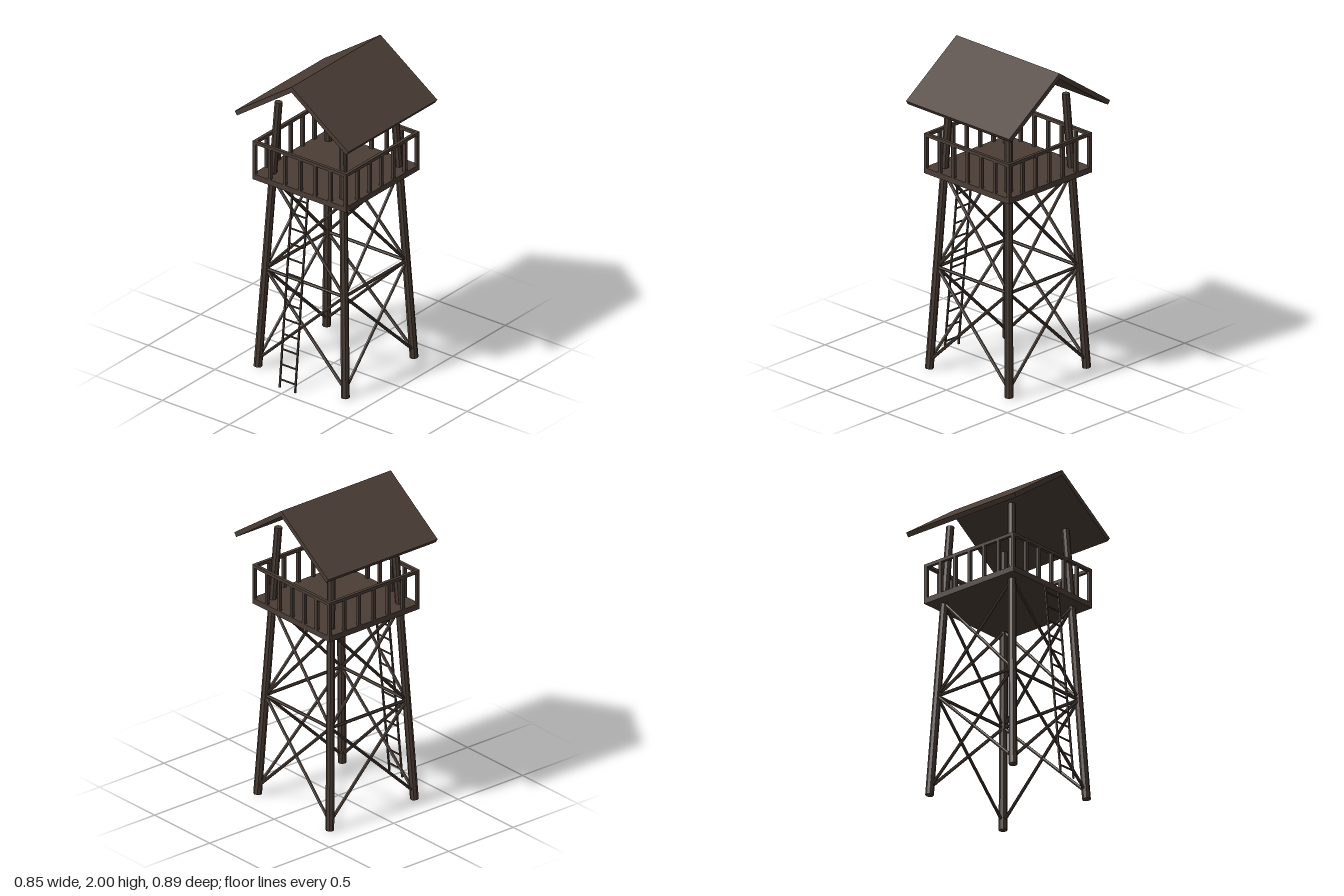
import * as THREE from 'three';

export function createModel() {
  const model = new THREE.Group();
  const tower = new THREE.Group();
  tower.name = 'tower';
  tower.position.z = -0.02;
  model.add(tower);

  const wood = new THREE.MeshStandardMaterial({ color: 0x4a3d35, flatShading: true });
  wood.name = 'dark weathered wood';

  const add = (parent, name, geometry, x = 0, y = 0, z = 0) => {
    const mesh = new THREE.Mesh(geometry, wood);
    mesh.name = name;
    mesh.position.set(x, y, z);
    parent.add(mesh);
    return mesh;
  };

  // Round pole between two points
  const UP = new THREE.Vector3(0, 1, 0);
  const pole = (parent, name, a, b, r0, r1 = r0, sides = 6) => {
    const dir = b.clone().sub(a);
    const mesh = add(parent, name, new THREE.CylinderGeometry(r1, r0, dir.length(), sides));
    mesh.position.copy(a).add(b).multiplyScalar(0.5);
    mesh.quaternion.setFromUnitVectors(UP, dir.normalize());
    return mesh;
  };

  // Legs lean inward as they rise
  const legAt = (sx, sz, y) => {
    const r = 0.328 - 0.0497 * y;
    return new THREE.Vector3(sx * r, y, sz * r);
  };
  for (const sx of [-1, 1]) {
    for (const sz of [-1, 1]) {
      pole(tower, 'leg', legAt(sx, sz, 0.001), legAt(sx, sz, 1.75), 0.026, 0.024, 8);
    }
  }

  // Bracing and railing, repeated on the four sides
  for (let i = 0; i < 4; i++) {
    const side = new THREE.Group();
    side.name = 'side';
    side.rotation.y = i * Math.PI / 2;
    tower.add(side);

    pole(side, 'crossBeam', legAt(-1, 1, 0.647), legAt(1, 1, 0.647), 0.01);
    for (const [low, high] of [[0.05, 0.647], [0.647, 1.25]]) {
      for (const s of [-1, 1]) {
        pole(side, 'diagonalBrace', legAt(-s, 1, low), legAt(s, 1, high), 0.01);
      }
    }

    add(side, 'handrail', new THREE.BoxGeometry(0.7, 0.02, 0.02), 0, 1.49, 0.34);
    for (let p = 0; p < 6; p++) {
      add(side, 'railPost', new THREE.BoxGeometry(0.02, 0.21, 0.02), -0.34 + p * 0.34 / 3, 1.38, 0.34);
    }
  }

  // Platform floor
  add(tower, 'platform', new THREE.BoxGeometry(0.7, 0.036, 0.7), 0, 1.263, 0);

  // Gabled roof: one chevron profile run front to back
  const profile = new THREE.Shape([
    [0, 2], [-0.426, 1.705], [-0.409, 1.68], [0, 1.964], [0.409, 1.68], [0.426, 1.705],
  ].map(([x, y]) => new THREE.Vector2(x, y)));
  add(tower, 'roof', new THREE.ExtrudeGeometry(profile, { depth: 0.85, bevelEnabled: false }), 0, 0, -0.425);

  // Ladder leaning on the front edge of the platform
  const ladder = new THREE.Group();
  ladder.name = 'ladder';
  model.add(ladder);
  const ladderZ = (y) => 0.444 - 0.097 * y;
  for (const s of [-1, 1]) {
    const rail = add(ladder, 'ladderRail', new THREE.BoxGeometry(0.01, 1.256, 0.01), s * 0.058, 0.626, ladderZ(0.626));
    rail.rotation.x = -Math.atan(0.097);
  }
  for (let i = 0; i < 13; i++) {
    const y = 0.053 + i * 0.0967;
    add(ladder, 'rung', new THREE.BoxGeometry(0.116, 0.008, 0.008), 0, y, ladderZ(y));
  }

  return model;
}
